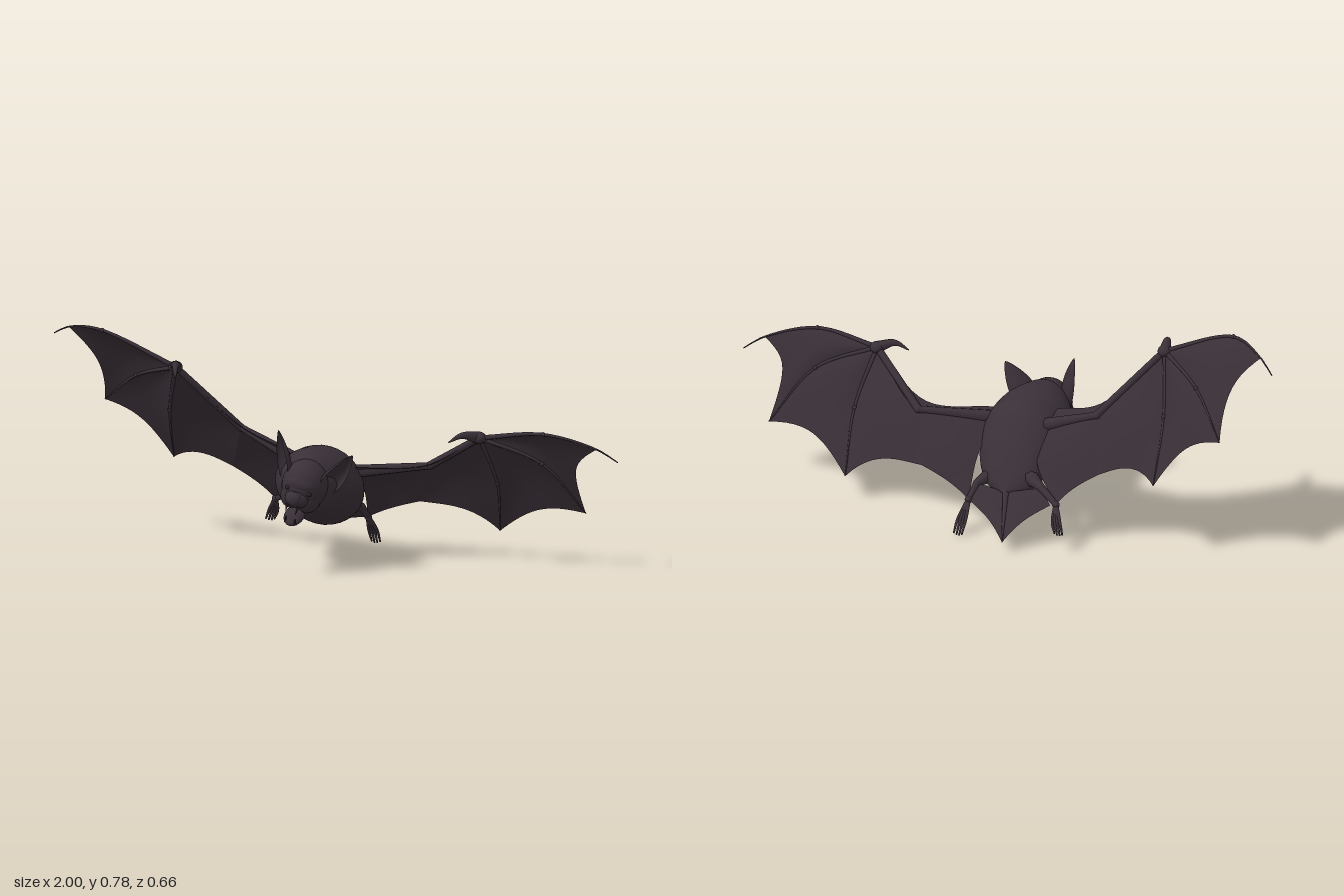
import * as THREE from 'three';

const fur = new THREE.MeshStandardMaterial({ color: 0x3a3038 });
fur.name = 'dark fur';
const skin = new THREE.MeshStandardMaterial({ color: 0x382e36, side: THREE.DoubleSide });
skin.name = 'wing skin';
const horn = new THREE.MeshStandardMaterial({ color: 0x2a2328 });
horn.name = 'dark horn';

const vec = (p) => new THREE.Vector3(...p);
const curve = (pts) => new THREE.CatmullRomCurve3(pts.map(vec), false, 'centripetal');

function add(parent, name, geometry, material) {
  const mesh = new THREE.Mesh(geometry, material);
  mesh.name = name;
  parent.add(mesh);
  return mesh;
}

function ball(parent, name, pos, radii, material = fur) {
  const mesh = add(parent, name, new THREE.SphereGeometry(1, 24, 16), material);
  mesh.position.set(...pos);
  mesh.scale.set(...radii);
  return mesh;
}

// Tube along a smooth path that narrows from r0 to r1
function bone(parent, name, pts, r0, r1, material = fur) {
  const path = curve(pts), n = 14, sides = 8;
  const geo = new THREE.TubeGeometry(path, n, 1, sides);
  const pos = geo.attributes.position, v = new THREE.Vector3();
  for (let i = 0; i <= n; i++) {
    const c = path.getPointAt(i / n), r = r0 + (r1 - r0) * i / n;
    for (let j = 0; j <= sides; j++) {
      const k = i * (sides + 1) + j;
      v.fromBufferAttribute(pos, k).sub(c).multiplyScalar(r).add(c);
      pos.setXYZ(k, v.x, v.y, v.z);
    }
  }
  return add(parent, name, geo, material);
}

// Grid surface from a rule f(u, v) -> Vector3
function surface(f, nu, nv) {
  const p = [], idx = [];
  for (let j = 0; j <= nv; j++) for (let i = 0; i <= nu; i++) p.push(...f(i / nu, j / nv).toArray());
  for (let j = 0; j < nv; j++) for (let i = 0; i < nu; i++) {
    const a = j * (nu + 1) + i, b = a + nu + 1;
    idx.push(a, a + 1, b, a + 1, b + 1, b);
  }
  const geo = new THREE.BufferGeometry();
  geo.setAttribute('position', new THREE.Float32BufferAttribute(p, 3));
  geo.setIndex(idx);
  geo.computeVertexNormals();
  return geo;
}

// Skin stretched between two ribs, with a hollow outer edge and a little billow
function membrane(parent, name, ribA, ribB, hollow, billow = 0.012) {
  const a = curve(ribA), b = curve(ribB);
  const f = (u, v) => {
    const arc = 4 * u * (1 - u), w = v * (1 - hollow * arc);
    const p = a.getPoint(w).lerp(b.getPoint(w), u), s = billow * arc * Math.sin(Math.PI * v);
    return p.add(new THREE.Vector3(0, s * 0.5, -s));
  };
  return add(parent, name, surface(f, 12, 16), skin);
}

// Closed body from oval sections [z, cx, cy, rx, ry]
function loft(rows, sides = 32, steps = 36) {
  const zy = curve(rows.map((r) => [r[1], r[2], r[0]]));
  const rr = new THREE.SplineCurve(rows.map((r) => new THREE.Vector2(r[3], r[4])));
  const p = [], idx = [];
  for (let j = 0; j <= steps; j++) {
    const c = zy.getPoint(j / steps), r = rr.getPoint(j / steps);
    for (let i = 0; i < sides; i++) {
      const t = i / sides * Math.PI * 2;
      p.push(c.x + Math.max(r.x, 0) * Math.cos(t), c.y + Math.max(r.y, 0) * Math.sin(t), c.z);
    }
  }
  for (let j = 0; j < steps; j++) for (let i = 0; i < sides; i++) {
    const a = j * sides + i, b = j * sides + (i + 1) % sides;
    idx.push(a, a + sides, b, b, a + sides, b + sides);
  }
  const geo = new THREE.BufferGeometry();
  geo.setAttribute('position', new THREE.Float32BufferAttribute(p, 3));
  geo.setIndex(idx);
  geo.computeVertexNormals();
  return geo;
}

function buildWing(w) {
  const g = new THREE.Group();
  g.name = w.name;
  const lead = [w.wrist, w.bend, w.hook];
  const f2 = [w.wrist, w.mid1, w.end1], f3 = [w.wrist, w.mid2, w.end2];
  const rib = [w.elbow, w.trail], side = [w.shoulder, w.flank, w.ankle];
  membrane(g, 'tipMembrane', lead, f2, 0.16);
  membrane(g, 'handMembrane', f2, f3, 0.12);
  membrane(g, 'armMembrane', f3, rib, 0.12);
  membrane(g, 'flankMembrane', rib, side, 0.04);
  membrane(g, 'leadingMembrane', [w.shoulder, w.elbow, w.wrist], [w.frontRoot, w.frontMid, w.wrist], 0, 0);
  // Arm and finger bones
  bone(g, 'upperArm', [w.shoulder, w.elbow], 0.024, 0.012);
  bone(g, 'forearm', [w.elbow, w.wrist], 0.014, 0.012);
  ball(g, 'elbow', w.elbow, [0.014, 0.014, 0.014]);
  ball(g, 'wrist', w.wrist, [0.024, 0.02, 0.026]);
  bone(g, 'leadingFinger', [...lead, w.tip], 0.009, 0.002);
  bone(g, 'middleFinger', f2, 0.008, 0.002);
  bone(g, 'innerFinger', f3, 0.008, 0.002);
  for (const m of [w.bend, w.mid1, w.mid2]) ball(g, 'knuckle', m, [0.008, 0.008, 0.008]);
  // Hooked thumb
  bone(g, 'thumb', [w.wrist, w.thumb, w.claw], 0.022, 0.002);
  return g;
}

function buildLeg(name, hip, knee, ankle, toe) {
  const g = new THREE.Group();
  g.name = name;
  bone(g, 'thigh', [hip, knee], 0.04, 0.014);
  bone(g, 'shin', [knee, ankle], 0.014, 0.01);
  ball(g, 'knee', knee, [0.014, 0.014, 0.014]);
  ball(g, 'heel', ankle, [0.013, 0.013, 0.013]);
  for (let i = -1.5; i <= 1.5; i++) {
    const mid = ankle.map((a, k) => a * 0.45 + toe[k] * 0.55);
    mid[0] += i * 0.01;
    mid[2] -= 0.008;
    bone(g, 'toe', [ankle, mid, [toe[0] + i * 0.01, toe[1] + Math.abs(i) * 0.004, toe[2]]], 0.009, 0.003);
  }
  return g;
}

function buildHead() {
  const g = new THREE.Group();
  g.name = 'head';
  g.position.set(-0.035, 0.31, 0.23);
  g.rotation.z = -0.26;
  ball(g, 'skull', [0, 0, -0.005], [0.08, 0.088, 0.085]);
  ball(g, 'muzzle', [0, -0.038, 0.055], [0.042, 0.032, 0.048]);
  ball(g, 'nose', [0, -0.034, 0.088], [0.024, 0.024, 0.017]);
  ball(g, 'brow', [0, 0.012, 0.045], [0.054, 0.034, 0.037]);
  ball(g, 'lowerJaw', [0, -0.106, 0.03], [0.034, 0.018, 0.053]).rotation.x = 0.5;
  for (const s of [-1, 1]) {
    ball(g, 'eye', [s * 0.039, -0.008, 0.066], [0.009, 0.008, 0.008], horn);
    ball(g, 'cheek', [s * 0.03, -0.04, 0.01], [0.04, 0.05, 0.052]);
    bone(g, 'upperFang', [[s * 0.02, -0.055, 0.09], [s * 0.019, -0.07, 0.095], [s * 0.018, -0.084, 0.094]], 0.005, 0.001, horn);
    bone(g, 'lowerFang', [[s * 0.017, -0.126, 0.066], [s * 0.017, -0.104, 0.075]], 0.005, 0.001, horn);
    // Cupped, pointed ear opening forward and outward
    const ear = add(g, 'ear', surface((u, v) => {
      const a = (u - 0.5) * 3.3;
      const w = 0.05 * Math.pow(1 - v, 0.68) * (0.72 + 1.5 * v * (1.3 - v));
      return new THREE.Vector3(w * Math.sin(a), 0.17 * v, -w * 0.6 * Math.cos(a) + 0.01 * v);
    }, 16, 16), skin);
    ear.position.set(s * 0.073, -0.002, 0.0);
    ear.rotation.set(0, s * 0.9, -s * 0.34, 'ZYX');
  }
  return g;
}

export function createModel() {
  const model = new THREE.Group();
  model.name = 'bat';

  add(model, 'body', loft([
    [0.25, -0.035, 0.31, 0, 0], [0.225, -0.035, 0.31, 0.075, 0.085],
    [0.15, -0.036, 0.3, 0.128, 0.113], [0.08, -0.037, 0.281, 0.146, 0.129],
    [0, -0.04, 0.256, 0.143, 0.137], [-0.08, -0.047, 0.21, 0.12, 0.098],
    [-0.14, -0.06, 0.168, 0.077, 0.048], [-0.18, -0.068, 0.15, 0, 0],
  ]), fur);
  model.add(buildHead());

  const rightAnkle = [-0.27, 0.155, -0.185], leftAnkle = [0.055, 0.11, -0.2];
  model.add(buildWing({
    name: 'rightWing', shoulder: [-0.14, 0.345, 0.01], elbow: [-0.34, 0.435, -0.015],
    frontRoot: [-0.15, 0.385, 0.06], frontMid: [-0.33, 0.455, 0.035],
    wrist: [-0.53, 0.662, 0.12], bend: [-0.79, 0.772, 0.122], hook: [-0.935, 0.757, 0.042], tip: [-1, 0.722, 0],
    mid1: [-0.7, 0.6, 0.02], end1: [-0.85, 0.48, -0.1],
    mid2: [-0.59, 0.48, -0.005], end2: [-0.62, 0.285, -0.145],
    trail: [-0.4, 0.27, -0.125], flank: [-0.15, 0.25, -0.09], ankle: rightAnkle,
    thumb: [-0.515, 0.677, 0.17], claw: [-0.505, 0.64, 0.205],
  }));
  model.add(buildWing({
    name: 'leftWing', shoulder: [0.06, 0.318, 0.035], elbow: [0.315, 0.335, -0.065],
    frontRoot: [0.09, 0.34, 0.06], frontMid: [0.31, 0.345, -0.015],
    wrist: [0.53, 0.472, 0.05], bend: [0.755, 0.498, 0.045], hook: [0.93, 0.447, -0.005], tip: [0.998, 0.4, -0.03],
    mid1: [0.73, 0.38, -0.02], end1: [0.855, 0.194, -0.122],
    mid2: [0.555, 0.29, -0.07], end2: [0.525, 0.094, -0.2],
    trail: [0.25, 0.184, -0.17], flank: [0.07, 0.23, -0.1], ankle: leftAnkle,
    thumb: [0.48, 0.484, 0.085], claw: [0.435, 0.46, 0.1],
  }));

  const rightKnee = [-0.2, 0.19, -0.155], leftKnee = [0.045, 0.155, -0.155];
  model.add(buildLeg('rightLeg', [-0.08, 0.2, -0.07], rightKnee, rightAnkle, [-0.305, 0.065, -0.235]));
  model.add(buildLeg('leftLeg', [-0.02, 0.2, -0.07], leftKnee, leftAnkle, [0.06, 0.003, -0.272]));

  // Tail with its skin spread between the legs
  const root = [-0.07, 0.15, -0.165], tip = [-0.137, 0.045, -0.328];
  bone(model, 'tail', [root, tip], 0.012, 0.002);
  membrane(model, 'rightTailMembrane', [rightKnee, [-0.25, 0.15, -0.19]], [root, tip], 0.12, 0.005);
  membrane(model, 'leftTailMembrane', [root, tip], [leftKnee, leftAnkle], 0.12, 0.005);
  return model;
}
